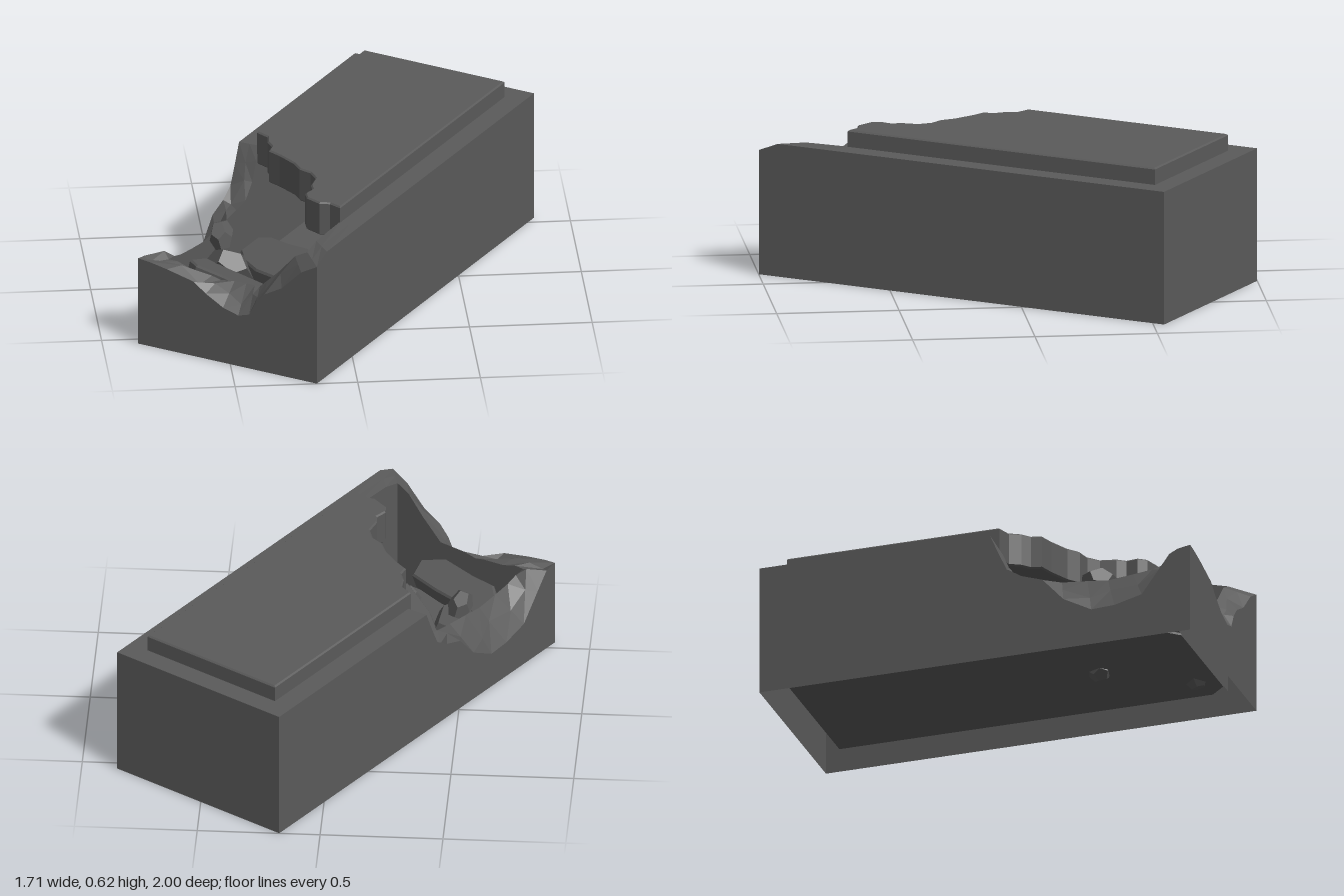
import * as THREE from 'three';

const stone = new THREE.MeshStandardMaterial({ color: 0x5a5a5a, flatShading: true, side: THREE.DoubleSide });
stone.name = 'dark stone';

const W = 0.413, L = 0.925, TOP = 0.555, FLOOR = 0.06;   // chest half width, half length, rim, floor
const IX = 0.32 / W, IZ = 0.835 / L;                     // cavity size relative to the outside

function named(geometry, name) {
  const mesh = new THREE.Mesh(geometry, stone);
  mesh.name = name;
  return mesh;
}

// Horizontal slab from an x,z outline; its top lies at y = 0 and it goes down by depth
function slab(points, depth, bevel = 0) {
  const shape = new THREE.Shape(points.map(p => new THREE.Vector2(p[0], p[1])));
  const geometry = new THREE.ExtrudeGeometry(shape, {
    depth: depth - 2 * bevel, bevelEnabled: bevel > 0, bevelSegments: 1,
    bevelSize: bevel, bevelThickness: bevel, bevelOffset: -bevel,
  });
  return geometry.translate(0, 0, bevel).rotateX(Math.PI / 2);
}

// Hollow walls: cross-sections lofted around the perimeter, following the broken rim
function wallsGeometry() {
  // Broken end: x, outer height, inner height
  const endBreak = [
    [0.413, 0.52, 0.53], [0.34, 0.48, 0.5], [0.25, 0.39, 0.42], [0.17, 0.345, 0.36],
    [0.13, 0.3, 0.33], [0.1, 0.24, 0.33], [0.05, 0.225, 0.33], [-0.02, 0.245, 0.33],
    [-0.1, 0.29, 0.32], [-0.155, 0.33, 0.33], [-0.28, 0.36, 0.34], [-0.36, 0.375, 0.36],
  ];
  // Broken long side: z, outer height, inner height
  const sideBreak = [
    [0.925, 0.38, 0.36], [0.87, 0.37, 0.355], [0.81, 0.3, 0.34], [0.717, 0.19, 0.33],
    [0.6, 0.16, 0.32], [0.5, 0.155, 0.33], [0.38, 0.22, 0.34], [0.29, 0.32, 0.35],
    [0.2, 0.35, 0.36], [0.137, 0.39, 0.42], [0.1, 0.47, 0.5], [0.064, TOP, TOP],
  ];
  const stations = [
    [-W, -L, TOP, TOP], [W, -L, TOP, TOP], [W, 0.6, TOP, TOP], [W, 0.84, TOP, 0.55],
    ...endBreak.map(([x, o, i]) => [x, L, o, i]),
    ...sideBreak.map(([z, o, i]) => [-W, z, o, i]),
  ];
  const sections = stations.map(([x, z, outer, inner], n) => {
    const rough = inner < 0.5 ? 0.02 * Math.sin(n * 2.3) : 0;
    const m = 0.5 + rough * 8;
    return [
      [x, 0, z],
      [x, outer, z],
      [x * (1 + (IX - 1) * m), (outer + inner) / 2 + rough, z * (1 + (IZ - 1) * m)],
      [x * IX, inner, z * IZ],
      [x * IX, FLOOR, z * IZ],
    ];
  });
  const position = [];
  sections.forEach((a, n) => {
    const b = sections[(n + 1) % sections.length];
    for (let j = 0; j < a.length - 1; j++) {
      position.push(...a[j], ...a[j + 1], ...b[j], ...b[j], ...a[j + 1], ...b[j + 1]);
    }
  });
  const geometry = new THREE.BufferGeometry();
  geometry.setAttribute('position', new THREE.Float32BufferAttribute(position, 3));
  geometry.computeVertexNormals();
  return geometry;
}

export function createModel() {
  const model = new THREE.Group();
  model.name = 'brokenStoneChest';
  const chest = new THREE.Group();
  chest.name = 'chest';
  chest.rotation.y = -0.585;
  model.add(chest);

  chest.add(named(wallsGeometry(), 'walls'));

  // Cavity floor with clipped corners at the broken end
  const floor = named(slab([
    [-0.32, -0.835], [0.32, -0.835], [0.32, 0.77], [0.26, 0.835], [-0.26, 0.835], [-0.32, 0.77],
  ], 0.01), 'floor');
  floor.position.y = FLOOR + 0.005;
  chest.add(floor);

  // Lid with a jagged broken corner
  const lid = named(slab([
    [-0.325, -0.838], [0.325, -0.838], [0.325, 0.565], [0.27, 0.55], [0.231, 0.567], [0.16, 0.545],
    [0.134, 0.51], [0.14, 0.46], [0.115, 0.427], [0.1, 0.36], [0.057, 0.322], [0, 0.31],
    [-0.048, 0.272], [-0.134, 0.233], [-0.195, 0.213], [-0.205, 0.17], [-0.24, 0.14],
    [-0.265, 0.095], [-0.325, 0.075],
  ], 0.145, 0.006), 'lid');
  lid.position.y = 0.625;
  chest.add(lid);

  // Fallen lid pieces inside the cavity
  const fallen = [
    { name: 'fallenSlab', at: [-0.06, 0.25, 0.42], tilt: [0.12, 0, 0.2], thick: 0.08, outline: [
      [-0.18, -0.19], [-0.2, -0.07], [-0.14, 0.01], [-0.04, 0.09], [0.15, 0.18], [0.19, 0.13],
      [0.18, 0.01], [0.12, -0.1], [0, -0.14], [-0.11, -0.19]] },
    { name: 'leaningSlab', at: [-0.07, 0.27, 0.68], tilt: [-0.3, 0, -0.12], thick: 0.08, outline: [
      [-0.23, -0.12], [-0.1, -0.08], [0.05, -0.05], [0.2, -0.01], [0.22, 0.08], [0.12, 0.12],
      [-0.05, 0.08], [-0.18, 0.06], [-0.24, 0]] },
  ];
  for (const { name, at, tilt, thick, outline } of fallen) {
    const piece = named(slab(outline, thick, 0.008), name);
    piece.position.set(...at);
    piece.rotation.set(...tilt);
    chest.add(piece);
  }

  // Loose stones: position, size, turn
  const stones = [
    [[-0.265, 0.34, 0.487], [0.05, 0.065, 0.08], 0.4],
    [[0.23, 0.2, 0.64], [0.06, 0.08, 0.06], 1.1],
    [[0.2, 0.08, 0.74], [0.05, 0.05, 0.06], 2.0],
    [[-0.02, 0.07, 0.4], [0.06, 0.05, 0.05], 0.7],
    [[-0.22, 0.2, 0.5], [0.08, 0.13, 0.1], 1.6],
  ];
  for (const [at, size, turn] of stones) {
    const rock = named(new THREE.DodecahedronGeometry(1, 0), 'looseStone');
    rock.position.set(...at);
    rock.scale.set(...size);
    rock.rotation.set(turn * 0.3, turn, 0.2);
    chest.add(rock);
  }
  return model;
}
